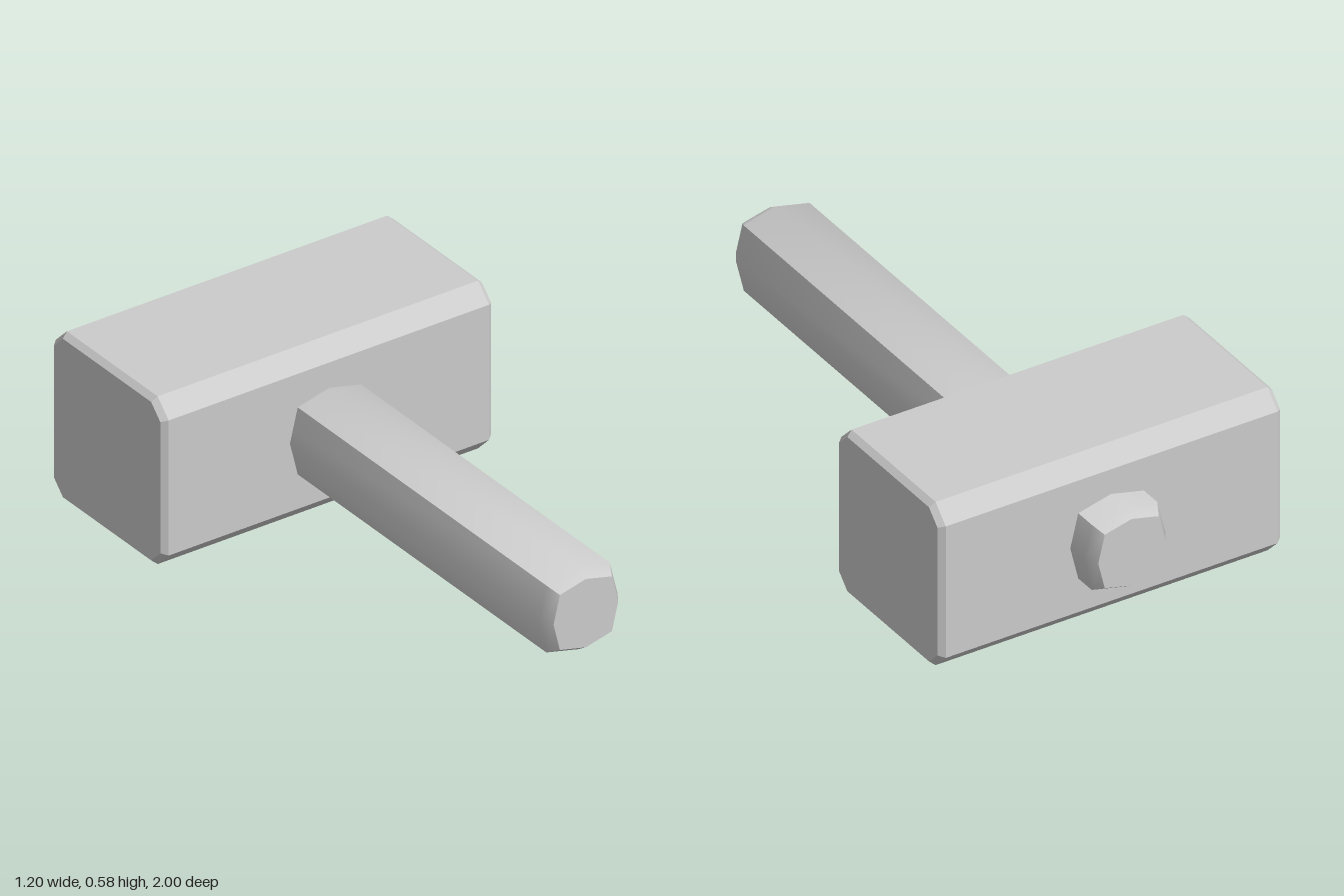
import * as THREE from 'three';
import { toCreasedNormals } from 'three/addons/utils/BufferGeometryUtils.js';

const CENTRE_Y = 0.29;

// Prism along z, centred on z = 0, with a one-step bevel inside its outline
function bevelledPrism(points, length, bevelSize, bevelThickness, creaseAngle) {
  const shape = new THREE.Shape(points.map(([x, y]) => new THREE.Vector2(x, y)));
  const depth = length - 2 * bevelThickness;
  const geometry = new THREE.ExtrudeGeometry(shape, {
    depth, bevelEnabled: true, bevelSegments: 1,
    bevelSize, bevelThickness, bevelOffset: -bevelSize,
  });
  geometry.translate(0, 0, -depth / 2);
  return toCreasedNormals(geometry, creaseAngle);
}

export function createModel() {
  const group = new THREE.Group();
  const material = new THREE.MeshStandardMaterial({ color: 0xcccccc });

  // Head: square block with chamfered long edges and thin bevels at the ends
  const h = 0.288, c = h - 0.056;
  const headOutline = [[h, -c], [h, c], [c, h], [-c, h], [-h, c], [-h, -c], [-c, -h], [c, -h]];
  const headGeometry = bevelledPrism(headOutline, 1.2, 0.016, 0.019, 0.3);
  headGeometry.rotateY(Math.PI / 2);
  const head = new THREE.Mesh(headGeometry, material);
  head.name = 'head';
  head.position.set(0, h, -0.598);

  // Handle: square bar with softly peaked sides, passing through the head
  const peak = 0.143, corner = 0.115;
  const handleOutline = [
    [peak, 0], [corner, corner], [0, peak], [-corner, corner],
    [-peak, 0], [-corner, -corner], [0, -peak], [corner, -corner],
  ];
  const handle = new THREE.Mesh(bevelledPrism(handleOutline, 2, 0.025, 0.04, 0.8), material);
  handle.name = 'handle';
  handle.position.set(0.002, CENTRE_Y, 0);

  group.add(head, handle);
  return group;
}
